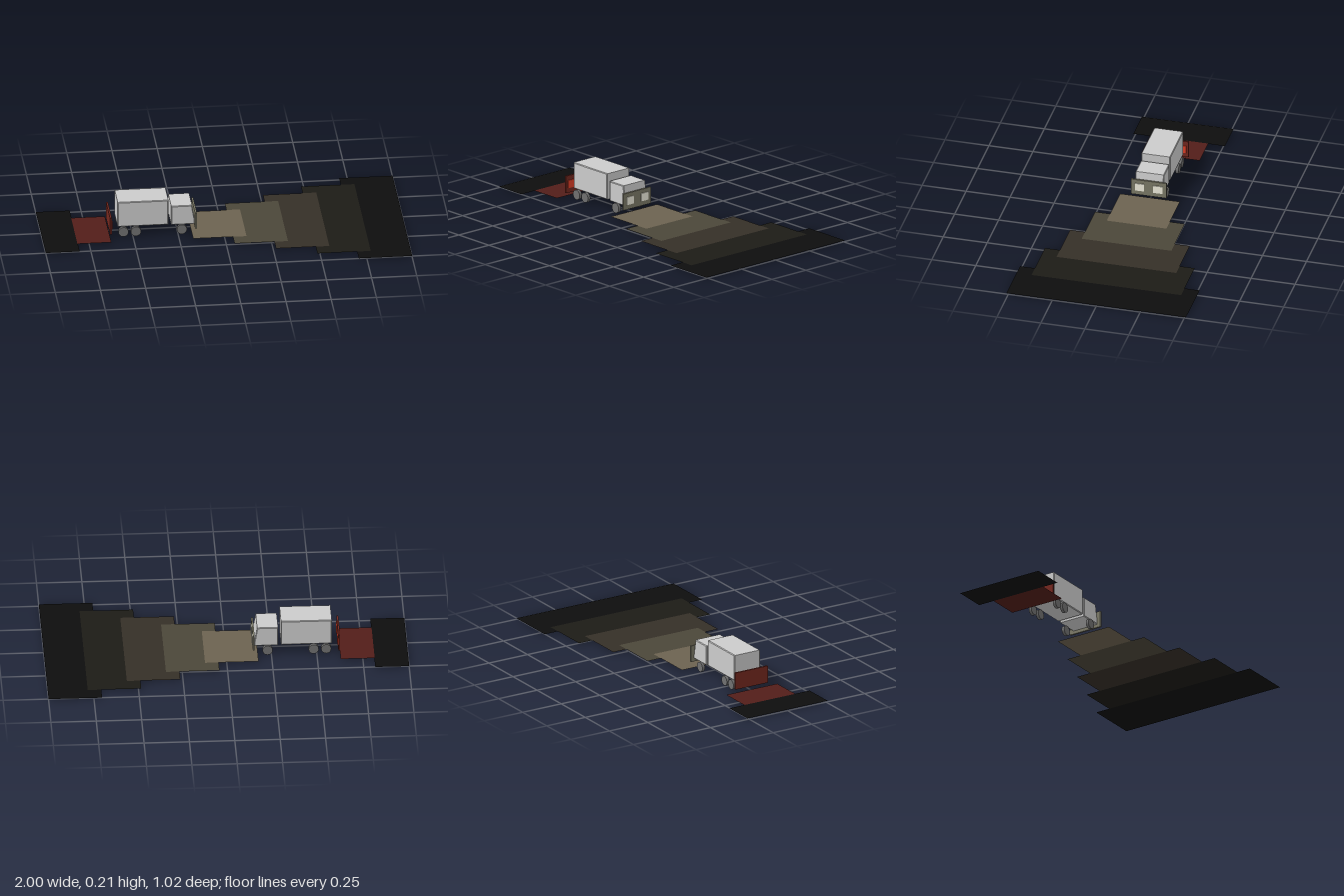
import * as THREE from 'three';

const GREY = 0xcccccc;
const mat = (color, extra = {}) => new THREE.MeshStandardMaterial({ color, ...extra });

function add(parent, name, geometry, material, x = 0, y = 0, z = 0) {
  const mesh = new THREE.Mesh(geometry, material);
  mesh.name = name;
  mesh.position.set(x, y, z);
  parent.add(mesh);
  return mesh;
}

// Side profile in x and y, extruded across z with chamfered edges
function chamferedBody(points, halfWidth, bevel) {
  const shape = new THREE.Shape(points.map(([x, y]) => new THREE.Vector2(x, y)));
  const geometry = new THREE.ExtrudeGeometry(shape, {
    depth: 2 * (halfWidth - bevel), bevelEnabled: true, bevelSegments: 1,
    bevelSize: bevel, bevelThickness: bevel, bevelOffset: -bevel,
  });
  return geometry.translate(0, 0, -(halfWidth - bevel));
}

// Flat sheet of light on the road
function lightSheet(parent, name, x0, x1, halfWidth, y, color) {
  const geometry = new THREE.PlaneGeometry(x1 - x0, 2 * halfWidth).rotateX(-Math.PI / 2);
  add(parent, name, geometry, mat(color, { side: THREE.DoubleSide }), (x0 + x1) / 2, y, 0);
}

// Upright plate across the truck with a pair of lamps on its +x face
function lampPlate(parent, name, p) {
  const group = new THREE.Group();
  group.name = name;
  parent.add(group);
  add(group, name + 'Panel', new THREE.BoxGeometry(0.01, p.y1 - p.y0, 2 * p.halfWidth),
    mat(p.color), p.x, (p.y0 + p.y1) / 2, 0);
  for (const side of [-1, 1]) {
    add(group, name + 'Lamp', new THREE.BoxGeometry(0.006, p.lampHeight, 0.052),
      mat(p.lampColor), p.x + 0.006, p.lampY, side * p.lampZ);
  }
}

export function createModel() {
  const root = new THREE.Group();
  root.name = 'truckWithLights';
  const grey = mat(GREY, { flatShading: true });

  // Cargo box and cab with sloping windscreen
  const truck = new THREE.Group();
  truck.name = 'truck';
  root.add(truck);
  add(truck, 'cargoBox', chamferedBody(
    [[-0.583, 0.058], [-0.303, 0.058], [-0.303, 0.207], [-0.583, 0.207]], 0.083, 0.004), grey);
  add(truck, 'cab', chamferedBody(
    [[-0.287, 0.054], [-0.156, 0.054], [-0.156, 0.075], [-0.172, 0.168], [-0.287, 0.168]], 0.081, 0.004), grey);

  // Wheels: one front axle, two rear axles
  const wheelGeometry = new THREE.CylinderGeometry(0.028, 0.028, 0.017, 20).rotateX(Math.PI / 2);
  for (const x of [-0.229, -0.483, -0.552]) {
    for (const side of [-1, 1]) add(truck, 'wheel', wheelGeometry, mat(0x707070), x, 0.028, side * 0.08);
  }

  // Lamp plates
  lampPlate(root, 'headlightPlate', {
    x: -0.152, y0: 0.036, y1: 0.13, halfWidth: 0.1, color: 0x7c7a68,
    lampColor: 0xf0eede, lampY: 0.085, lampHeight: 0.045, lampZ: 0.052,
  });
  lampPlate(root, 'tailLightPlate', {
    x: -0.623, y0: 0.025, y1: 0.123, halfWidth: 0.105, color: 0x74281f,
    lampColor: 0xe04028, lampY: 0.074, lampHeight: 0.045, lampZ: 0.065,
  });

  // Headlight beam: overlapping sheets that widen and darken ahead of the cab
  [0x6c6250, 0x4b4739, 0x352f27, 0x1c1b16, 0x0d0d0d].forEach((color, i) => {
    const x0 = -0.175 + i * 0.22;
    lightSheet(root, 'headlightBeam', x0, x0 + 0.295, 0.17 + i * 0.085, 0.0085 - i * 0.0006, color);
  });

  // Tail light glow behind the truck
  lightSheet(root, 'tailLightGlow', -0.815, -0.628, 0.165, 0.0065, 0x521d19);
  lightSheet(root, 'tailLightFade', -1, -0.813, 0.26, 0.006, 0x0d0d0d);

  return root;
}
